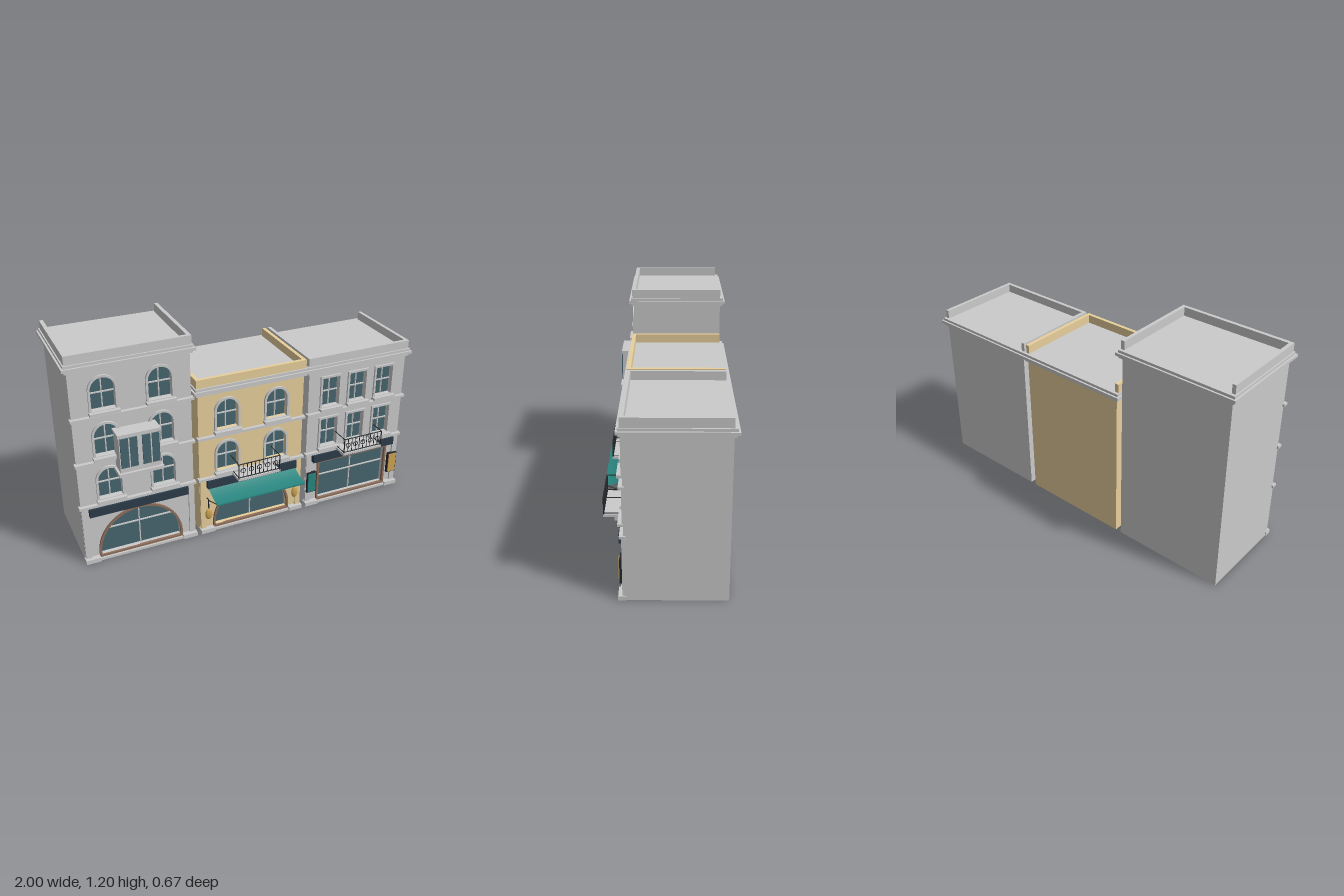
import * as THREE from 'three';

const mat = (color, extra = {}) => new THREE.MeshStandardMaterial({ color, ...extra });
const M = {
  stone: mat(0xcccccc),
  ochre: mat(0xe8d09c),
  glass: mat(0x47656f),
  brown: mat(0x8f6f5c),
  navy: mat(0x2c3d4b),
  iron: mat(0x25282b),
  teal: mat(0x2a8680, { side: THREE.DoubleSide }),
  gold: mat(0xd0a453),
};
const FRONT = 0.19, BACK = -0.31, HALF = 0.313, STOREY = 0.255, GROUND = 0.343;

function add(parent, name, geometry, material, x = 0, y = 0, z = 0) {
  const mesh = new THREE.Mesh(geometry, material);
  mesh.name = name;
  mesh.position.set(x, y, z);
  parent.add(mesh);
  return mesh;
}

// Box given by its limits on each axis
function box(parent, name, material, x0, x1, y0, y1, z0, z1) {
  return add(parent, name, new THREE.BoxGeometry(x1 - x0, y1 - y0, z1 - z0), material,
    (x0 + x1) / 2, (y0 + y1) / 2, (z0 + z1) / 2);
}

// Thin round bar between two points
function bar(parent, name, a, b, r, material = M.iron) {
  const p = new THREE.Vector3(...a), q = new THREE.Vector3(...b);
  const mesh = add(parent, name, new THREE.CylinderGeometry(r, r, p.distanceTo(q), 6), material);
  mesh.position.lerpVectors(p, q, 0.5);
  mesh.quaternion.setFromUnitVectors(new THREE.Vector3(0, 1, 0), q.sub(p).normalize());
}

// Outline of an opening, optionally round-headed and grown by g
function outline(o, g = 0, Type = THREE.Shape) {
  const h = o.w / 2 + g, s = new Type();
  s.moveTo(o.x - h, o.y0 - g);
  s.lineTo(o.x + h, o.y0 - g);
  if (o.arched) {
    s.lineTo(o.x + h, o.y1 - o.w / 2);
    s.absarc(o.x, o.y1 - o.w / 2, h, 0, Math.PI, false);
  } else {
    s.lineTo(o.x + h, o.y1 + g);
    s.lineTo(o.x - h, o.y1 + g);
  }
  s.closePath();
  return s;
}

const extrude = (shape, depth) =>
  new THREE.ExtrudeGeometry(shape, { depth, bevelEnabled: false, curveSegments: 16 });

// Glass, frame, glazing bars and sill for one opening
function glaze(parent, o) {
  const g = new THREE.Group();
  g.name = o.shop ? 'shopWindow' : 'window';
  parent.add(g);
  add(g, 'glass', new THREE.ShapeGeometry(outline(o), 16), M.glass, 0, 0, 0.166);
  const ring = outline(o, 0.012);
  ring.holes.push(outline(o, 0, THREE.Path));
  add(g, 'surround', extrude(ring, 0.016), o.shop ? M.brown : M.stone, 0, 0, 0.185);
  const t = 0.003, mid = o.shop ? 0.17 : (o.y0 + o.y1) / 2;
  box(g, 'upright', M.stone, o.x - t, o.x + t, o.y0, o.y1, 0.164, 0.174);
  box(g, 'crossbar', M.stone, o.x - o.w / 2, o.x + o.w / 2, mid - t, mid + t, 0.164, 0.174);
  if (!o.shop) {
    const h = o.w / 2 + 0.016;
    box(g, 'sill', M.stone, o.x - h, o.x + h, o.y0 - 0.018, o.y0 - 0.003, 0.185, 0.222);
  }
}

function building(name, x, storeys, wall, archedShop, windowXs, windowW, arched) {
  const g = new THREE.Group();
  g.name = name;
  g.position.x = x;
  const H = GROUND + STOREY * storeys;

  // Openings
  const openings = [{ x: 0, y0: 0.025, y1: 0.27, w: 0.45, arched: archedShop, shop: true }];
  for (let f = 0; f < storeys; f++) {
    const y = GROUND + STOREY * f;
    for (const wx of windowXs) openings.push({ x: wx, y0: y + 0.034, y1: y + (arched ? 0.209 : 0.212), w: windowW, arched });
  }

  // Walls: solid body with a pierced facade in front
  box(g, 'body', wall, -HALF, HALF, 0, H, BACK, 0.15);
  const face = new THREE.Shape([[-HALF, 0], [HALF, 0], [HALF, H], [-HALF, H]].map(p => new THREE.Vector2(...p)));
  for (const o of openings) face.holes.push(outline(o, 0, THREE.Path));
  add(g, 'facade', extrude(face, FRONT - 0.15), wall, 0, 0, 0.15);
  openings.forEach(o => glaze(g, o));

  // Plinth, step and ground floor pilasters
  box(g, 'plinth', M.stone, -0.318, 0.318, 0, 0.014, 0.18, 0.212);
  for (const s of [-1, 1]) {
    box(g, 'plinthBlock', M.stone, s * 0.277 - 0.041, s * 0.277 + 0.041, 0, 0.024, 0.18, 0.22);
    box(g, 'pilaster', wall, s * 0.296 - 0.016, s * 0.296 + 0.016, 0.024, GROUND, 0.185, 0.2);
  }

  // String courses
  for (let f = 0; f < storeys; f++) {
    const y = GROUND + STOREY * f;
    box(g, 'stringCourse', M.stone, -0.323, 0.323, y - 0.005, y + 0.009, 0.18, 0.21);
  }

  // Cornice steps around the whole top, forming the roof
  for (const [y0, y1, out] of [[0, 0.015, 0.013], [0.015, 0.031, 0.026], [0.031, 0.045, 0.016]])
    box(g, 'cornice', M.stone, -HALF - out, HALF + out, H + y0, H + y1, BACK - out, FRONT + out);

  // Parapet on the front and both sides
  const p0 = H + 0.045, p1 = H + 0.093;
  box(g, 'frontParapet', wall, -0.322, 0.322, p0, p1, 0.178, 0.198);
  for (const s of [-1, 1]) box(g, 'sideParapet', wall, s * 0.312 - 0.01, s * 0.312 + 0.01, p0, p1, BACK, 0.178);

  box(g, 'signBoard', M.navy, -0.273, 0.273, 0.287, 0.335, 0.188, 0.216);
  return g;
}

// Balcony with iron railing
function balcony(parent) {
  const g = new THREE.Group();
  g.name = 'balcony';
  parent.add(g);
  const w = 0.123, z1 = 0.295, y0 = 0.367, y1 = 0.45;
  box(g, 'balconyFloor', M.stone, -w - 0.004, w + 0.004, 0.346, 0.36, 0.185, z1 + 0.003);
  for (const s of [-1, 1]) {
    box(g, 'bracket', M.stone, s * 0.088 - 0.011, s * 0.088 + 0.011, 0.312, 0.346, 0.185, 0.245);
    bar(g, 'cornerPost', [s * w, 0.36, z1], [s * w, y1, z1], 0.003);
    for (const y of [y0, y1]) bar(g, 'sideRail', [s * w, y, 0.185], [s * w, y, z1], 0.0025);
  }
  for (const y of [y0, y1]) bar(g, 'frontRail', [-w, y, z1], [w, y, z1], 0.003);
  const n = 10, step = 2 * w / n;
  for (let i = 1; i < n; i++) {
    const x = -w + i * step;
    bar(g, 'baluster', [x, y0, z1], [x, y1, z1], 0.002);
    if (i % 2) add(g, 'ring', new THREE.TorusGeometry(0.014, 0.002, 5, 14), M.iron, x, 0.408, z1);
  }
}

// Projecting closed bay on sloping brackets
function bay(parent) {
  const g = new THREE.Group();
  g.name = 'bayWindow';
  parent.add(g);
  box(g, 'bayBody', M.stone, -0.108, 0.108, 0.55, 0.755, 0.185, 0.274);
  box(g, 'bayCap', M.stone, -0.114, 0.114, 0.753, 0.769, 0.185, 0.278);
  box(g, 'bayBase', M.stone, -0.12, 0.12, 0.533, 0.551, 0.185, 0.288);
  const profile = new THREE.Shape([[-0.185, 0.487], [-0.2, 0.487], [-0.265, 0.533], [-0.185, 0.533]].map(p => new THREE.Vector2(...p)));
  for (const s of [-1, 1]) {
    const x = s * 0.058;
    box(g, 'bayGlass', M.glass, x - 0.045, x + 0.045, 0.58, 0.747, 0.27, 0.28);
    box(g, 'bayMullion', M.stone, x - 0.003, x + 0.003, 0.58, 0.747, 0.275, 0.284);
    const b = add(g, 'bayBracket', extrude(profile, 0.018), M.stone, s * 0.08 - 0.009);
    b.rotation.y = Math.PI / 2;
  }
}

// Sagging fabric awning with struts
function awning(parent) {
  const g = new THREE.Group();
  g.name = 'awning';
  parent.add(g);
  const cloth = new THREE.PlaneGeometry(0.536, 1, 1, 10), p = cloth.attributes.position;
  for (let i = 0; i < p.count; i++) {
    const t = 0.5 - p.getY(i);
    p.setXYZ(i, p.getX(i), 0.29 - 0.037 * (1 - (1 - t) ** 2), 0.205 + 0.128 * t);
  }
  cloth.computeVertexNormals();
  add(g, 'awningCloth', cloth, M.teal);
  box(g, 'awningEdge', M.teal, -0.268, 0.268, 0.247, 0.255, 0.329, 0.334);
  for (const s of [-1, 1]) bar(g, 'awningStrut', [s * 0.262, 0.252, 0.33], [s * 0.262, 0.2, 0.2], 0.003);
}

export function createModel() {
  const model = new THREE.Group();
  model.name = 'shopRow';
  const tall = building('tallHouse', -0.66, 3, M.stone, true, [-0.147, 0.147], 0.125, true);
  const middle = building('ochreHouse', 0, 2, M.ochre, true, [-0.147, 0.147], 0.125, true);
  const right = building('greyHouse', 0.66, 2, M.stone, false, [-0.175, 0, 0.175], 0.108, false);
  model.add(tall, middle, right);

  bay(tall);
  balcony(middle);
  balcony(right);
  awning(middle);

  // Hanging lanterns and wall boards
  for (const s of [-1, 1]) {
    add(middle, 'lantern', new THREE.SphereGeometry(1, 16, 10), M.gold, s * 0.27, 0.122, 0.212).scale.set(0.021, 0.036, 0.01);
    bar(middle, 'lanternRod', [s * 0.27, 0.155, 0.212], [s * 0.27, 0.215, 0.212], 0.003);
    bar(middle, 'lanternArm', [s * 0.27, 0.215, 0.19], [s * 0.27, 0.215, 0.215], 0.003);
    const x = s * 0.278;
    box(right, 'boardFrame', M.iron, x - 0.03, x + 0.03, 0.09, 0.222, 0.195, 0.212);
    box(right, 'board', s < 0 ? M.teal : M.gold, x - 0.025, x + 0.025, 0.095, 0.217, 0.2, 0.216);
  }
  return model;
}
